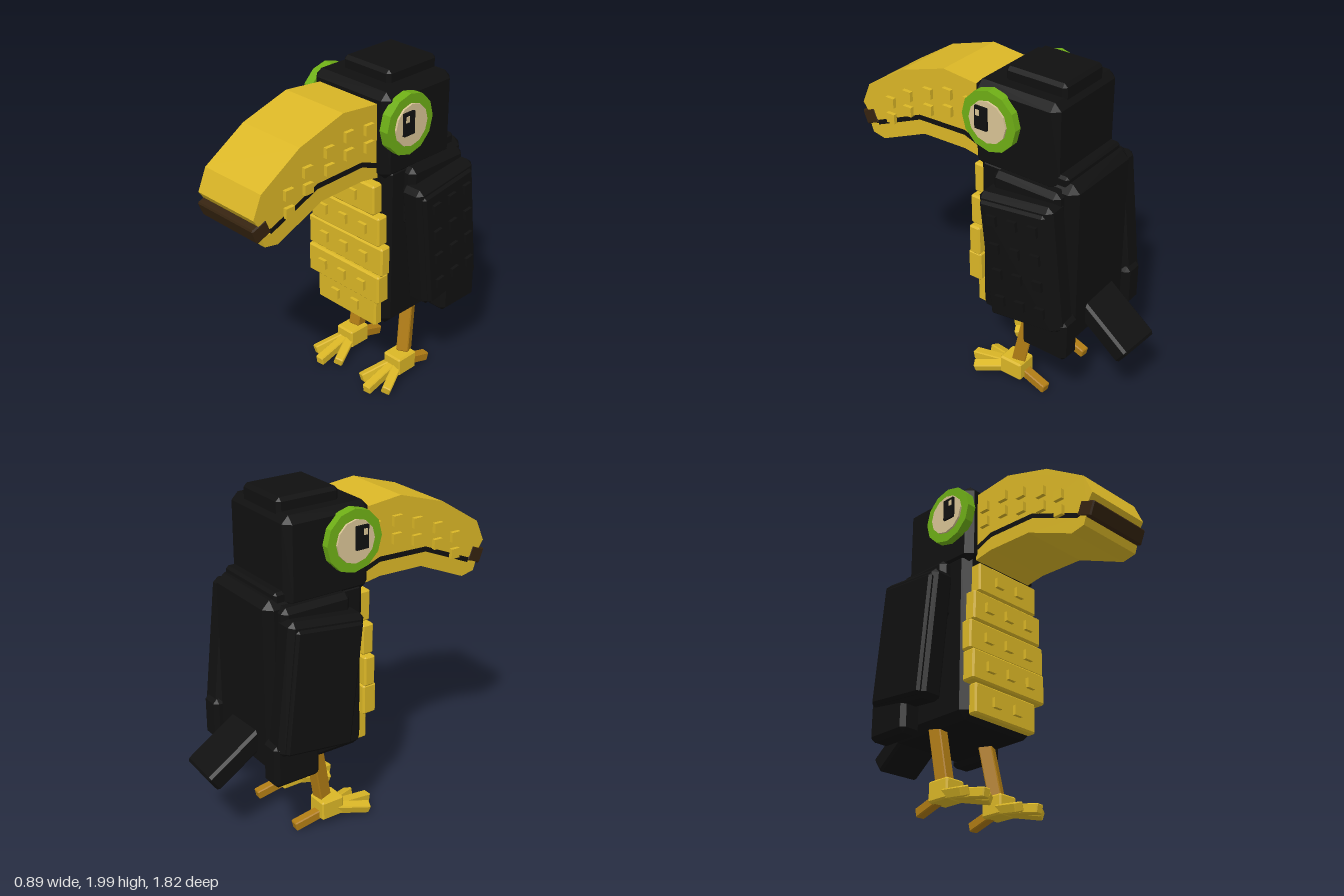
import * as THREE from 'three';
import { ConvexGeometry } from 'three/addons/geometries/ConvexGeometry.js';

function paint(name, color) {
  const m = new THREE.MeshStandardMaterial({ color });
  m.name = name;
  return m;
}

export function createModel() {
  const black = paint('black feathers', 0x101010);
  const yellow = paint('yellow', 0xdab626);
  const amber = paint('amber legs', 0xb07c14);
  const green = paint('green eye ring', 0x6eae16);
  const cream = paint('cream eye', 0xd8c394);
  const brown = paint('dark brown beak tip', 0x35230f);

  const model = new THREE.Group();
  model.name = 'bird';
  const bird = new THREE.Group();
  bird.name = 'birdParts';
  bird.position.x = -0.01;
  model.add(bird);

  function add(name, geometry, material, parent = bird) {
    const mesh = new THREE.Mesh(geometry, material);
    mesh.name = name;
    parent.add(mesh);
    return mesh;
  }

  // Box with every edge cut at 45 degrees
  function chamferBox(w, h, d, c) {
    const pts = [];
    for (const x of [-1, 1]) for (const y of [-1, 1]) for (const z of [-1, 1])
      for (let k = 0; k < 3; k++) {
        const inset = [c, c, c];
        inset[k] = 0;
        pts.push(new THREE.Vector3(
          x * (w / 2 - inset[0]), y * (h / 2 - inset[1]), z * (d / 2 - inset[2])));
      }
    return new ConvexGeometry(pts);
  }

  // Chamfered block given by its lower and upper limits
  function block(name, material, x0, x1, y0, y1, z0, z1, c = 0.03, parent = bird) {
    const mesh = add(name, chamferBox(x1 - x0, y1 - y0, z1 - z0, c), material, parent);
    mesh.position.set((x0 + x1) / 2, (y0 + y1) / 2, (z0 + z1) / 2);
    return mesh;
  }

  // Square bar running between two points
  function bar(name, material, from, to, w, h, c = 0.006) {
    const a = new THREE.Vector3(...from), b = new THREE.Vector3(...to);
    const mesh = add(name, chamferBox(w, h, a.distanceTo(b), c), material);
    mesh.position.copy(a).add(b).multiplyScalar(0.5);
    mesh.lookAt(b);
    return mesh;
  }

  function stud(name, material, x, y, z, w, h, d, parent = bird) {
    const mesh = add(name, new THREE.BoxGeometry(w, h, d), material, parent);
    mesh.position.set(x, y, z);
    return mesh;
  }

  // Body, shoulders and head
  block('body', black, -0.275, 0.275, 0.475, 1.495, -0.615, 0.015, 0.045);
  block('shoulders', black, -0.335, 0.335, 1.1, 1.465, -0.55, -0.12);
  block('neck', black, -0.25, 0.25, 1.4, 1.53, -0.55, -0.03, 0.015);
  block('head', black, -0.283, 0.283, 1.43, 1.93, -0.495, 0.04, 0.04);
  block('crown', black, -0.175, 0.175, 1.88, 2.0, -0.47, -0.09, 0.02);
  bar('tail', black, [0, 0.67, -0.555], [0, 0.44, -0.88], 0.275, 0.115, 0.015);

  // Belly plates: bottom, half width, front, stud columns
  const plates = [
    [0.49, 0.237, 0.06, [-0.08, 0.08]],
    [0.67, 0.285, 0.088, [-0.157, 0, 0.157]],
    [0.85, 0.295, 0.072, [-0.157, 0, 0.157]],
    [1.035, 0.27, 0.076, [-0.157, 0, 0.157]],
    [1.22, 0.232, 0.078, [-0.08, 0.08]],
  ];
  for (const [y, half, front, columns] of plates) {
    block('bellyPlate', yellow, -half, half, y, y + 0.182, 0, front, 0.01);
    for (const x of columns) stud('bellyStud', yellow, x, y + 0.092, front + 0.005, 0.058, 0.058, 0.03);
  }

  // Beak: side profiles (z, y) extruded across the width
  const mouth = [[0.03, 1.525], [0.15, 1.57], [0.47, 1.56], [0.79, 1.425]];
  const mouthLow = mouth.map(([z, y]) => [z, y - 0.03]);
  function beakPart(name, material, points, width) {
    const shape = new THREE.Shape(points.map(p => new THREE.Vector2(...p)));
    const g = new THREE.ExtrudeGeometry(shape, { depth: width, bevelEnabled: false });
    g.translate(0, 0, -width / 2).rotateY(-Math.PI / 2);
    return add(name, g, material);
  }
  beakPart('upperBeak', yellow, [...mouth, [0.86, 1.45], [0.9, 1.51], [0.845, 1.635],
    [0.585, 1.8], [0.285, 1.893], [0.03, 1.868]], 0.434);
  beakPart('mouthLine', black, [...mouth, ...[...mouthLow].reverse()], 0.436);
  beakPart('lowerBeak', yellow, [...mouthLow, [0.86, 1.41], [0.835, 1.335], [0.75, 1.318],
    [0.44, 1.45], [0.15, 1.457], [0.03, 1.437]], 0.434);
  const tip = add('beakTip', chamferBox(0.44, 0.092, 0.1, 0.008), brown);
  tip.position.set(0, 1.43, 0.85);
  tip.rotation.x = 0.37;
  const beakStuds = [[0.675, 1.58, 1.48], [0.545, 1.66, 1.565], [0.395, 1.72, 1.62],
    [0.255, 1.76, 1.658], [0.11, 1.752, 1.652]];

  for (const s of [-1, 1]) {
    const side = s > 0 ? 'left' : 'right';
    for (const [z, ...rows] of beakStuds)
      for (const y of rows) stud('beakStud', yellow, s * 0.225, y, z, 0.03, 0.058, 0.058);

    // Eye
    const disc = (name, material, r, x0, x1) => {
      const g = new THREE.CylinderGeometry(r, r, x1 - x0, 12).toNonIndexed();
      g.computeVertexNormals();
      g.rotateZ(Math.PI / 2);
      add(name, g, material).position.set(s * (x0 + x1) / 2, 1.745, -0.1);
    };
    disc(side + 'EyeRing', green, 0.175, 0.27, 0.327);
    disc(side + 'EyeDisc', cream, 0.12, 0.3, 0.339);
    stud(side + 'Pupil', black, s * 0.338, 1.765, -0.068, 0.03, 0.13, 0.078);
    stud(side + 'EyeGlint', cream, s * 0.352, 1.795, -0.05, 0.008, 0.034, 0.024);

    // Wing, swept back towards its tip
    const wing = new THREE.Group();
    wing.name = side + 'Wing';
    wing.position.set(s * 0.34, 1.01, -0.36);
    wing.rotation.set(0.11, s * 0.03, 0);
    bird.add(wing);
    block('wingBase', black, -0.075, 0.075, -0.385, 0.385, -0.235, 0.235, 0.03, wing);
    const x0 = s > 0 ? 0.03 : -0.09;
    block('wingPanel', black, x0, x0 + 0.06, -0.37, 0.345, -0.2, 0.215, 0.015, wing);
    if (s > 0)
      for (const y of [0.25, 0.08, -0.08, -0.25])
        for (const z of [-0.13, 0, 0.13])
          stud('wingStud', black, 0.095, y, z, 0.03, 0.058, 0.058, wing);
    block(side + 'WingTip', black, s > 0 ? 0.25 : -0.387, s > 0 ? 0.387 : -0.25,
      0.46, 0.72, -0.65, -0.36, 0.025);

    // Leg and foot
    bar(side + 'Leg', amber, [s * 0.19, 0.52, -0.283], [s * 0.2, 0.175, -0.222], 0.075, 0.08);
    const fx = s * 0.203;
    block(side + 'Foot', yellow, fx - 0.066, fx + 0.066, 0.05, 0.17, -0.27, -0.12, 0.01);
    bar(side + 'MiddleToe', yellow, [fx, 0.09, -0.17], [fx, 0.045, 0.105], 0.056, 0.056);
    for (const t of [-1, 1])
      bar(side + 'OuterToe', yellow, [fx + t * 0.02, 0.09, -0.17],
        [fx + t * 0.098, 0.048, 0.04], 0.056, 0.056).rotateZ(-t * 0.3);
    bar(side + 'BackToe', amber, [fx, 0.085, -0.22], [fx, 0.037, -0.418], 0.056, 0.056);
  }
  return model;
}
